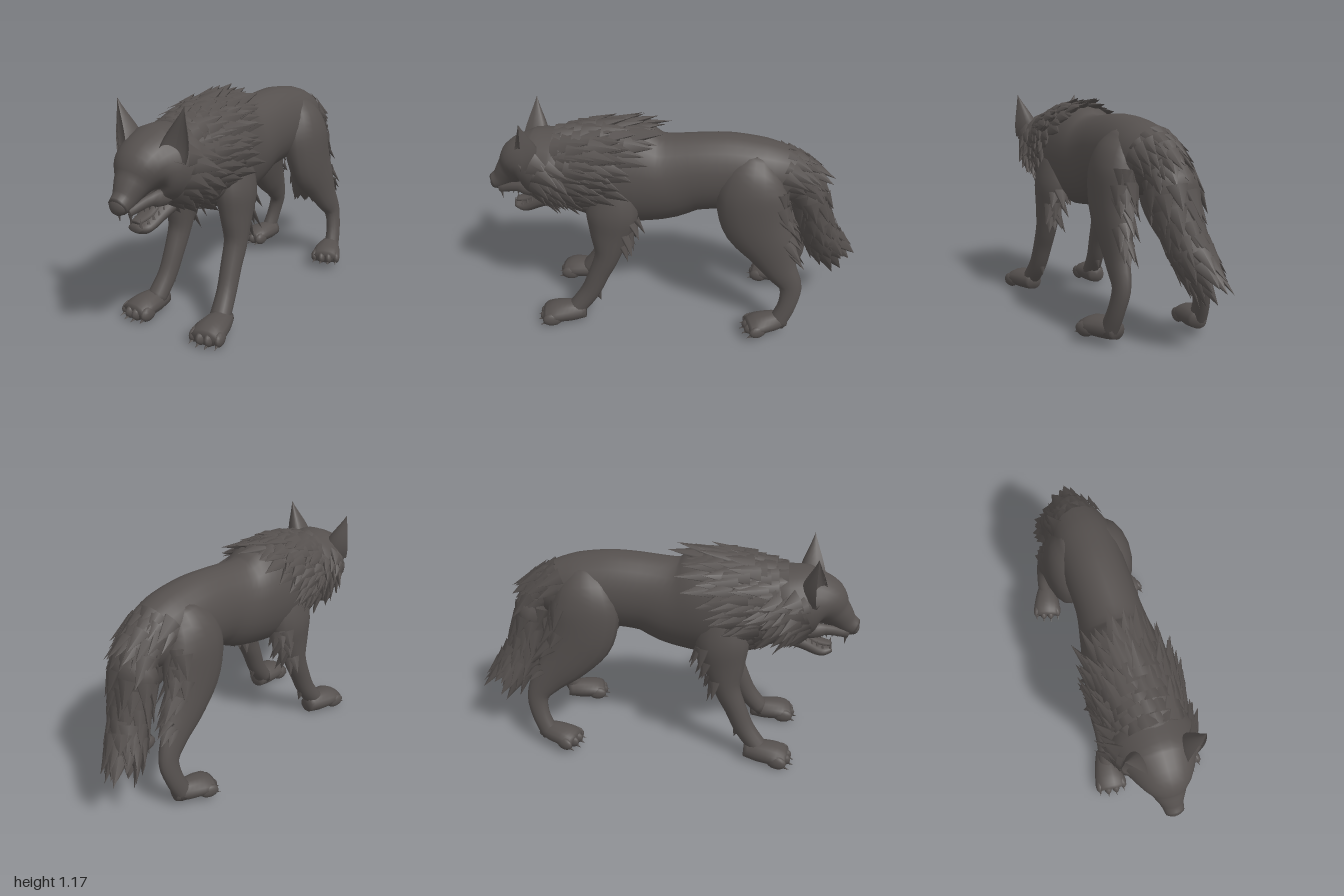
import * as THREE from 'three';
import { mergeGeometries } from 'three/addons/utils/BufferGeometryUtils.js';

const V = (x, y, z) => new THREE.Vector3(x, y, z);
const coat = new THREE.MeshStandardMaterial({ color: 0x55504e });
coat.name = 'charcoal coat';

let seed = 7;
const rand = () => ((seed = (seed * 16807) % 2147483647) / 2147483647);
const jitter = (amount) => 1 + (rand() - 0.5) * amount;

function add(parent, name, geometry) {
  const mesh = new THREE.Mesh(geometry, coat);
  mesh.name = name;
  parent.add(mesh);
  return mesh;
}

// Surface through elliptical stations [x, y, z, halfWidth, halfDepth]
function sampler(stations) {
  const path = new THREE.CatmullRomCurve3(stations.map((s) => V(s[0], s[1], s[2])));
  const radii = new THREE.CatmullRomCurve3(stations.map((s) => V(s[3], s[4], 0)));
  return (u, a) => {
    const c = path.getPoint(u), t = path.getTangent(u), r = radii.getPoint(u);
    const side = V(1, 0, 0).addScaledVector(t, -t.x).normalize();
    const up = t.clone().cross(side);
    const p = c.clone().addScaledVector(side, r.x * Math.cos(a)).addScaledVector(up, r.y * Math.sin(a));
    const n = side.multiplyScalar(Math.cos(a) / r.x).addScaledVector(up, Math.sin(a) / r.y).normalize();
    return { c, p, n, t };
  };
}

function loft(at, rings = 24, sides = 18) {
  const pos = [], index = [];
  for (let i = 0; i <= rings; i++)
    for (let j = 0; j < sides; j++) pos.push(...at(i / rings, (j / sides) * Math.PI * 2).p.toArray());
  const first = rings * sides + sides, last = first + 1;
  pos.push(...at(0, 0).c.toArray(), ...at(1, 0).c.toArray());
  for (let j = 0; j < sides; j++) {
    const k = (j + 1) % sides;
    for (let i = 0; i < rings; i++) {
      const a = i * sides, b = a + sides;
      index.push(a + j, a + k, b + j, a + k, b + k, b + j);
    }
    index.push(first, k, j, last, rings * sides + j, rings * sides + k);
  }
  const g = new THREE.BufferGeometry();
  g.setAttribute('position', new THREE.Float32BufferAttribute(pos, 3));
  g.setIndex(index);
  g.computeVertexNormals();
  return g;
}

// One pointed lock of fur
function tuft(p, dir, normal, len, width) {
  const y = dir.clone().normalize();
  const x = y.clone().cross(normal).normalize();
  const z = x.clone().cross(y);
  const g = new THREE.ConeGeometry(0.5, 1, 6, 1, true).translate(0, 0.4, 0).scale(width, len, width * 0.4);
  return g.applyMatrix4(new THREE.Matrix4().makeBasis(x, y, z).setPosition(p));
}

// Rows of overlapping locks on a lofted surface; slant shortens the patch down the sides
function fur(parent, name, at, o) {
  const locks = [];
  for (let i = 0; i < o.rows; i++)
    for (let j = 0; j < o.n; j++) {
      const a = o.a0 + ((o.a1 - o.a0) * (j + (i % 2) * 0.5 + (rand() - 0.5) * 0.4)) / o.n;
      const start = o.u0 + (o.slant || 0) * (1 - Math.sin(a));
      const u = start + ((o.u1 - start) * (i + (rand() - 0.5) * 0.6)) / (o.rows - 1);
      const s = at(Math.min(1, Math.max(0, u)), a);
      const dir = s.t.clone().multiplyScalar(o.flow).addScaledVector(s.n, o.lift * jitter(0.8));
      dir.y -= o.droop || 0;
      locks.push(tuft(s.p.clone().addScaledVector(s.n, -0.006), dir, s.n, o.len * jitter(0.5), o.w * jitter(0.4)));
    }
  add(parent, name, mergeGeometries(locks));
}

function ellipsoid(parent, name, p, r, rot = [0, 0, 0]) {
  const m = add(parent, name, new THREE.SphereGeometry(1, 14, 10));
  m.position.set(...p);
  m.scale.set(...r);
  m.rotation.set(...rot);
}

function spike(parent, name, p, dir, r, len) {
  const m = add(parent, name, new THREE.ConeGeometry(r, len, 6));
  m.position.set(...p);
  m.quaternion.setFromUnitVectors(V(0, 1, 0), V(...dir).normalize());
}

// Paw with four toes and claws
function paw(parent, name, p, turn, size) {
  const g = new THREE.Group();
  g.name = name;
  add(g, 'pad', loft(sampler([
    [0, 0.06, -0.14, 0.045, 0.045], [0, 0.06, -0.06, 0.07, 0.058], [0, 0.056, 0.03, 0.085, 0.054],
    [0, 0.045, 0.09, 0.075, 0.036]]), 10, 14));
  for (let i = 0; i < 4; i++) {
    const k = i - 1.5, z = 0.07 - 0.018 * Math.abs(k);
    ellipsoid(g, 'toe', [k * 0.042, 0.042, z], [0.026, 0.04, 0.056], [0, k * 0.12, 0]);
    spike(g, 'claw', [k * 0.046, 0.02, z + 0.05], [k * 0.1, -0.35, 1], 0.012, 0.045);
  }
  g.position.set(...p);
  g.rotation.y = turn;
  g.scale.setScalar(size);
  parent.add(g);
}

export function createModel() {
  const wolf = new THREE.Group();
  wolf.name = 'wolf';
  const PI = Math.PI;

  // Torso and neck
  const torso = sampler([
    [-0.01, 0.82, -0.74, 0.08, 0.1], [-0.01, 0.86, -0.62, 0.135, 0.15], [0, 0.88, -0.48, 0.165, 0.185],
    [0, 0.88, -0.3, 0.165, 0.21], [0, 0.865, -0.12, 0.165, 0.215], [-0.01, 0.83, 0.05, 0.187, 0.25],
    [-0.02, 0.84, 0.2, 0.21, 0.285], [-0.02, 0.855, 0.35, 0.22, 0.275], [-0.02, 0.865, 0.5, 0.21, 0.24],
    [-0.02, 0.87, 0.64, 0.17, 0.19]]);
  add(wolf, 'torso', loft(torso, 36, 24));
  fur(wolf, 'mane', torso, { u0: 0.66, u1: 0.96, slant: 0.1, rows: 9, n: 13, a0: -0.35, a1: PI + 0.35, flow: -1, lift: 0.36, droop: 0.1, len: 0.15, w: 0.11 });
  fur(wolf, 'chestFur', torso, { u0: 0.78, u1: 0.98, rows: 5, n: 9, a0: PI + 0.2, a1: 2 * PI - 0.2, flow: -0.9, lift: 0.15, droop: 0.3, len: 0.11, w: 0.09 });
  fur(wolf, 'rumpFur', torso, { u0: 0.02, u1: 0.15, rows: 4, n: 7, a0: 0, a1: PI, flow: -1, lift: 0.12, droop: 0.4, len: 0.12, w: 0.09 });

  // Bushy tail
  const tail = sampler([
    [-0.01, 0.92, -0.58, 0.1, 0.06], [-0.02, 0.82, -0.7, 0.115, 0.09], [-0.03, 0.67, -0.755, 0.115, 0.09],
    [-0.05, 0.53, -0.8, 0.1, 0.095], [-0.08, 0.42, -0.855, 0.09, 0.1], [-0.105, 0.345, -0.905, 0.055, 0.07]]);
  add(wolf, 'tail', loft(tail, 24, 16));
  fur(wolf, 'tailFur', tail, { u0: 0.12, u1: 0.93, rows: 9, n: 9, a0: 0, a1: 2 * PI, flow: 1, lift: 0.14, len: 0.13, w: 0.1 });

  // Head with sloping brow and short muzzle
  const head = sampler([
    [-0.025, 0.86, 0.48, 0.17, 0.19], [-0.025, 0.87, 0.62, 0.215, 0.195], [-0.025, 0.885, 0.73, 0.19, 0.18],
    [-0.028, 0.88, 0.81, 0.145, 0.13], [-0.03, 0.83, 0.87, 0.09, 0.085], [-0.03, 0.77, 0.93, 0.057, 0.06],
    [-0.03, 0.745, 0.975, 0.047, 0.046]]);
  add(wolf, 'head', loft(head, 30, 24));
  ellipsoid(wolf, 'nose', [-0.03, 0.75, 0.968], [0.047, 0.044, 0.031]);
  for (const [name, a0, a1] of [['leftCheekFur', -1.2, 0.45], ['rightCheekFur', PI - 0.45, PI + 1.2]])
    fur(wolf, name, head, { u0: 0.1, u1: 0.28, rows: 4, n: 6, a0, a1, flow: -0.8, lift: 0.5, droop: 0.3, len: 0.12, w: 0.11 });

  // Open lower jaw and tongue
  add(wolf, 'lowerJaw', loft(sampler([
    [-0.027, 0.71, 0.6, 0.1, 0.06], [-0.028, 0.655, 0.72, 0.077, 0.045],
    [-0.03, 0.605, 0.82, 0.056, 0.032], [-0.03, 0.615, 0.87, 0.036, 0.018]]), 14, 14));
  add(wolf, 'tongue', loft(sampler([
    [-0.03, 0.715, 0.7, 0.045, 0.015], [-0.03, 0.66, 0.78, 0.042, 0.014], [-0.03, 0.64, 0.86, 0.03, 0.01]]), 10, 10));

  for (const s of [-1, 1]) {
    const side = s > 0 ? 'left' : 'right';
    const mx = (x) => s * x - 0.028; // head is slightly off centre

    // Broad cupped ear with rounded flanks
    const cup = new THREE.ConeGeometry(0.066, 0.25, 16, 8).translate(0, 0.125, 0);
    const p = cup.attributes.position;
    for (let i = 0; i < p.count; i++) {
      const bulge = 1 + 1.5 * (p.getY(i) / 0.25) * (1 - p.getY(i) / 0.25);
      const z = p.getZ(i) * bulge;
      p.setX(i, p.getX(i) * bulge);
      p.setZ(i, z > 0 ? z * -0.5 : z * 1.75);
    }
    cup.computeVertexNormals();
    const ear = add(wolf, side + 'Ear', cup);
    ear.position.set(s * 0.145 - 0.018, 0.935, 0.785);
    ear.rotation.set(-0.06, s * 0.5, s * -0.22);

    // Brow, eye and lip
    ellipsoid(wolf, side + 'Brow', [mx(0.068), 0.9, 0.85], [0.055, 0.014, 0.022], [0, s * 0.5, s * 0.5]);
    ellipsoid(wolf, side + 'Eye', [mx(0.068), 0.875, 0.848], [0.02, 0.01, 0.018], [0, s * 0.5, s * 0.4]);
    add(wolf, side + 'Lip', loft(sampler([
      [mx(0.095), 0.735, 0.7, 0.02, 0.03], [mx(0.066), 0.75, 0.82, 0.02, 0.03], [mx(0.036), 0.718, 0.94, 0.014, 0.022]]), 8, 8));

    // Teeth
    spike(wolf, 'upperFang', [mx(0.034), 0.685, 0.93], [0, -1, -0.1], 0.011, 0.06);
    spike(wolf, 'lowerFang', [mx(0.029), 0.64, 0.862], [0, 1, 0.1], 0.009, 0.055);
    for (let i = 0; i < 4; i++) {
      spike(wolf, 'upperTooth', [mx(0.045 + i * 0.007), 0.715, 0.89 - i * 0.03], [0, -1, 0], 0.008, 0.03);
      spike(wolf, 'lowerTooth', [mx(0.04 + i * 0.006), 0.643 + i * 0.014, 0.82 - i * 0.03], [0, 1, 0], 0.008, 0.03);
    }

    // Foreleg
    const fx = (x) => s * x - 0.015;
    const fore = sampler([
      [fx(0.09), 0.92, 0.3, 0.05, 0.08], [fx(0.13), 0.8, 0.3, 0.085, 0.13], [fx(0.157), 0.68, 0.3, 0.088, 0.14],
      [fx(0.17), 0.55, 0.315, 0.07, 0.11], [fx(0.178), 0.42, 0.335, 0.058, 0.07], [fx(0.182), 0.3, 0.385, 0.053, 0.058],
      [fx(0.19), 0.18, 0.44, 0.05, 0.054], [fx(0.205), 0.06, 0.53, 0.055, 0.05]]);
    add(wolf, side + 'Foreleg', loft(fore, 28, 14));
    fur(wolf, side + 'ElbowFur', fore, { u0: 0.32, u1: 0.5, rows: 3, n: 4, a0: PI + 0.8, a1: 2 * PI - 0.8, flow: 0.8, lift: 0.4, len: 0.1, w: 0.08 });
    spike(wolf, side + 'Dewclaw', [fx(0.185), 0.14, 0.39], [0, -0.9, -0.3], 0.02, 0.05);
    paw(wolf, side + 'FrontPaw', [fx(0.222), 0, 0.595 + s * 0.012], s * 0.12, 1);

    // Hind leg, hocks staggered slightly
    const dz = s * 0.02;
    const hind = sampler([
      [s * 0.07, 1.0, -0.44, 0.05, 0.08], [s * 0.115, 0.9, -0.43, 0.09, 0.15], [s * 0.135, 0.79, -0.43, 0.1, 0.185],
      [s * 0.15, 0.66, -0.455, 0.09, 0.18], [s * 0.17, 0.52, -0.535, 0.07, 0.135], [s * 0.19, 0.4, -0.62 + dz, 0.05, 0.09],
      [s * 0.205, 0.3, -0.68 + dz, 0.041, 0.06], [s * 0.225, 0.19, -0.668 + dz, 0.038, 0.05],
      [s * 0.24, 0.07, -0.615 + dz, 0.042, 0.05]]);
    add(wolf, side + 'HindLeg', loft(hind, 30, 16));
    fur(wolf, side + 'ThighFur', hind, { u0: 0.22, u1: 0.58, rows: 5, n: 4, a0: PI + 0.8, a1: 2 * PI - 0.8, flow: 1, lift: 0.18, len: 0.12, w: 0.09 });
    paw(wolf, side + 'HindPaw', [s * 0.252, 0.03, -0.54 + dz], s * 0.3, 0.93);
  }
  return wolf;
}
